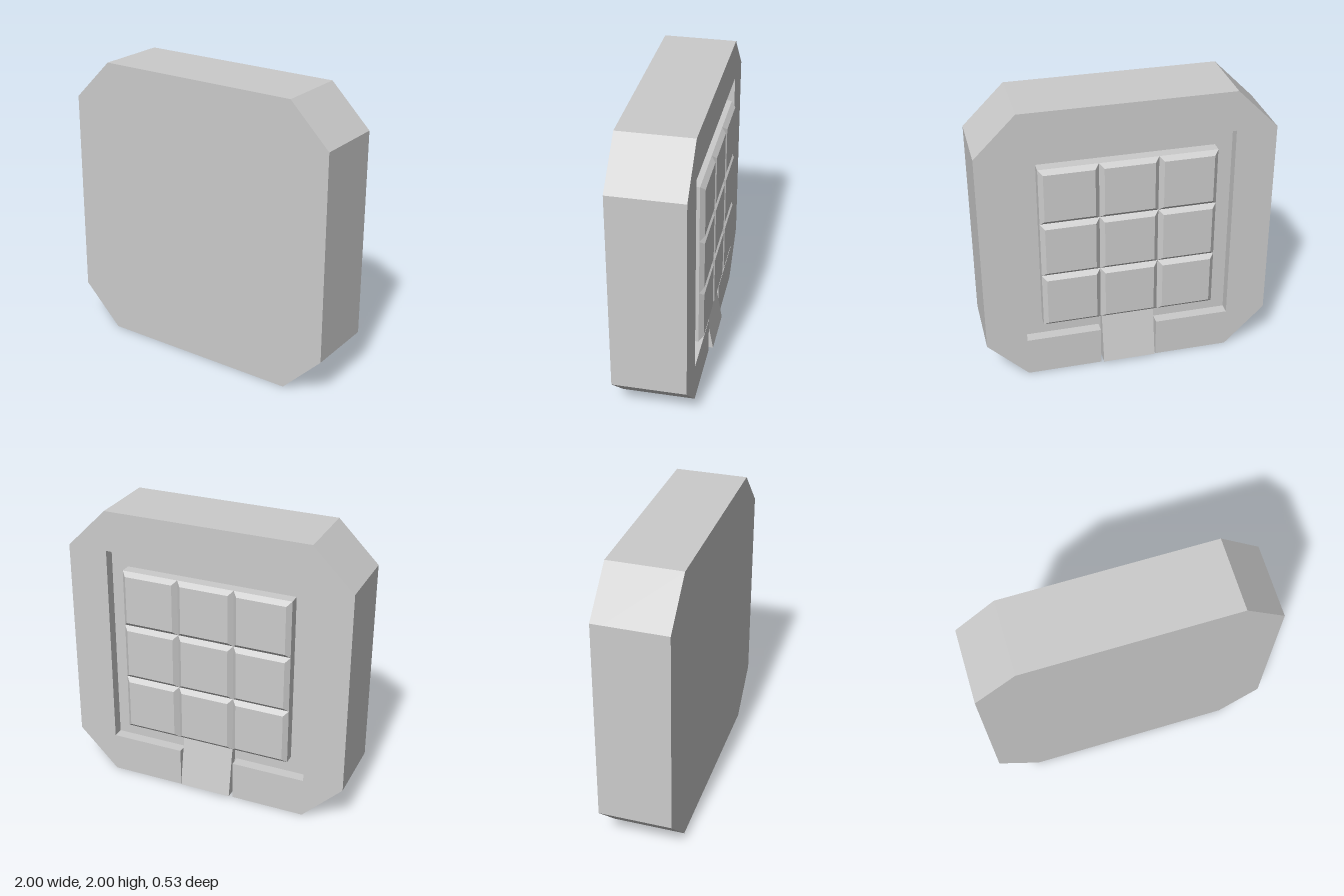
import * as THREE from 'three';

const FRONT = 0.265, BACK = -0.235, FLOOR = -0.16;

export function createModel() {
  const group = new THREE.Group();
  const material = new THREE.MeshStandardMaterial({ color: 0xcccccc, flatShading: true });

  const add = (name, geometry, x = 0, y = 0, z = 0) => {
    const mesh = new THREE.Mesh(geometry, material);
    mesh.name = name;
    mesh.position.set(x, y, z);
    group.add(mesh);
    return mesh;
  };
  const extrude = (points, depth) => new THREE.ExtrudeGeometry(
    new THREE.Shape(points.map(([x, y]) => new THREE.Vector2(x, y))),
    { depth, bevelEnabled: false });

  // Octagon outline, counter-clockwise from the bottom right
  const octagon = [[0.72, 0], [1, 0.28], [1, 1.72], [0.72, 2],
    [-0.72, 2], [-1, 1.72], [-1, 0.28], [-0.72, 0]];

  // Solid front slab, up to the floor of the recess
  add('body', extrude(octagon, FRONT - FLOOR), 0, 0, FLOOR);

  // Back rim around a square recess, open at the bottom through a slot
  const recess = [[-0.2, 0], [-0.2, 0.28], [-0.72, 0.28], [-0.72, 1.72],
    [0.72, 1.72], [0.72, 0.28], [0.2, 0.28], [0.2, 0]];
  add('backRim', extrude([...octagon, ...recess], FLOOR - BACK), 0, 0, BACK);

  // Raised block carrying a grid of bevelled tiles
  add('tileBase', new THREE.BoxGeometry(1.2, 1.2, FLOOR - BACK), 0, 1, (FLOOR + BACK) / 2);
  const tile = new THREE.CylinderGeometry(0.17 * Math.SQRT2, 0.2 * Math.SQRT2, 0.03, 4)
    .rotateY(Math.PI / 4).rotateX(-Math.PI / 2);
  for (let row = -1; row <= 1; row++) {
    for (let col = -1; col <= 1; col++) {
      add('tile', tile, col * 0.4, 1 + row * 0.4, BACK - 0.015);
    }
  }

  // Sloping wedge in the slot, leaning outwards towards the bottom
  const wedge = extrude([[0.16, 0.02], [0.265, 0.02], [0.198, 0.4], [0.16, 0.4]], 0.37);
  add('wedgeTab', wedge.rotateY(Math.PI / 2), -0.185);

  return group;
}
